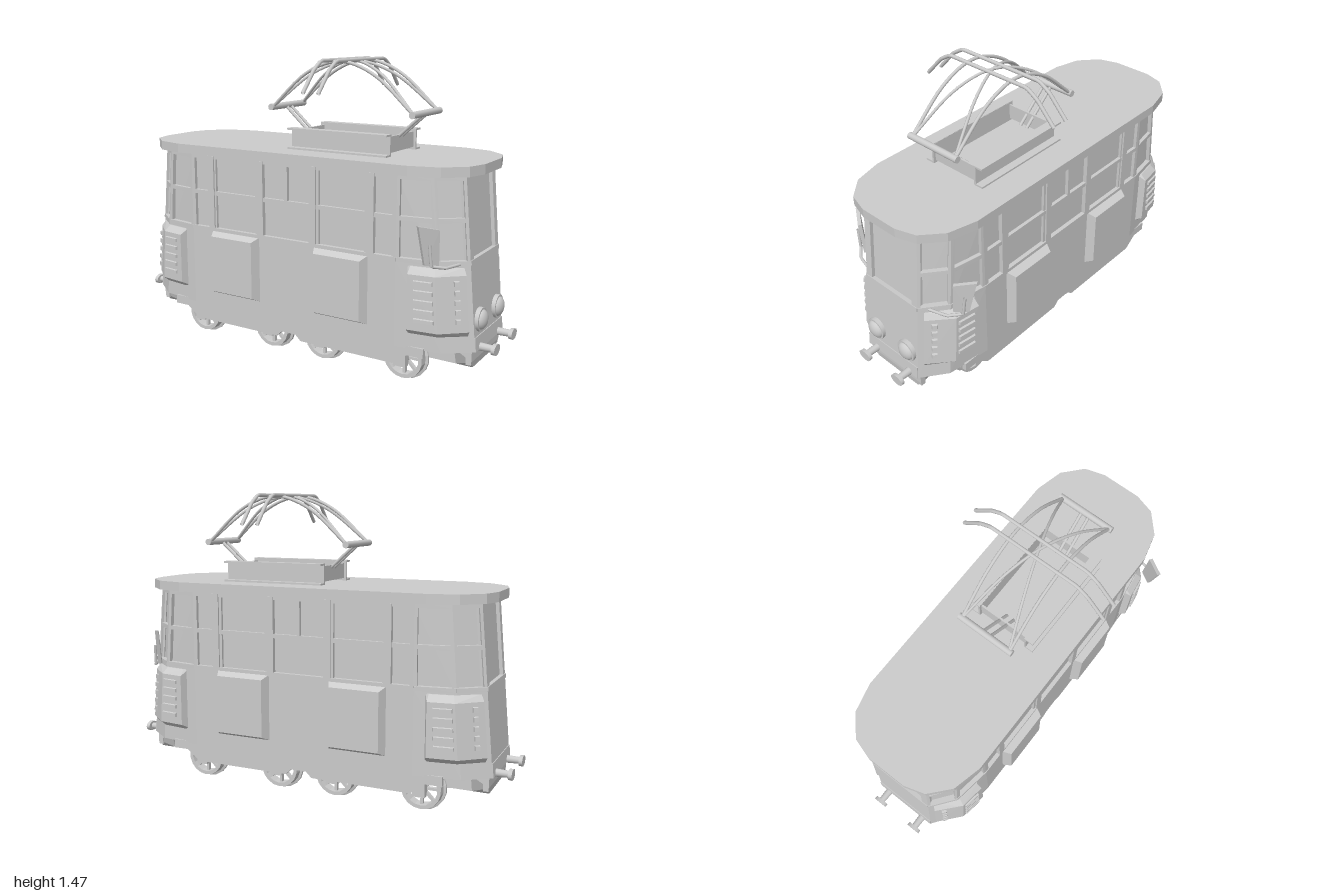
import * as THREE from 'three';
import { ConvexGeometry } from 'three/addons/geometries/ConvexGeometry.js';

const V = (x, y, z) => new THREE.Vector3(x, y, z);
const SIGNS = [-1, 1];
const grey = new THREE.MeshStandardMaterial({ color: 0xcccccc, side: THREE.DoubleSide });
const flat = new THREE.MeshStandardMaterial({ color: 0xcccccc, flatShading: true, side: THREE.DoubleSide });

export function createModel() {
  const model = new THREE.Group();
  const add = (name, geo, pos = [0, 0, 0], parent = model, mat = grey) => {
    const m = new THREE.Mesh(geo, mat);
    m.name = name;
    m.position.set(...pos);
    parent.add(m);
    return m;
  };
  const box = (name, w, h, d, x, y, z, parent) => add(name, new THREE.BoxGeometry(w, h, d), [x, y, z], parent);
  const hull = (name, pts) => add(name, new ConvexGeometry(pts));
  const rod = (name, pts, r, parent) => {
    const path = new THREE.CurvePath();
    for (let i = 1; i < pts.length; i++) path.add(new THREE.LineCurve3(pts[i - 1], pts[i]));
    return add(name, new THREE.TubeGeometry(path, (pts.length - 1) * 8, r, 8), [0, 0, 0], parent);
  };
  const arc = (name, pts, r) => add(name, new THREE.TubeGeometry(new THREE.CatmullRomCurve3(pts), 32, r, 8));

  // Plan corners of the body at height y; the ends lean inwards towards the roof
  const corner = ([k, sx, sz], y, inset = 0) => {
    const t = (y - 0.2) / 0.78;
    const [x, z] = [[0.58, 0.29], [0.8 - 0.06 * t, 0.26], [0.92 - 0.07 * t, 0.17]][k];
    return V(sx * (x - inset), y, sz * (z - inset));
  };
  const ring = (y, inset) => SIGNS.flatMap(sx => SIGNS.flatMap(sz => [0, 1, 2].map(k => corner([k, sx, sz], y, inset))));

  // A slab lying on one wall facet, between fractions u and heights y, from depth d0 to d1.
  // taper shrinks the outer face, giving a bevelled panel.
  const slab = (name, [a, b], u0, u1, y0, y1, d0, d1, taper = 0) => {
    const at = (u, y) => corner(a, y).lerp(corner(b, y), u);
    const n = corner(b, y0).sub(corner(a, y0)).cross(corner(a, y1).sub(corner(a, y0))).normalize();
    const mid = at(0.5, y0).setY(0);
    if (n.dot(mid) < 0) n.negate();
    const len = corner(a, y0).distanceTo(corner(b, y0));
    const pts = [];
    for (const [d, s] of [[d0, 0], [d1, taper]])
      for (const u of [u0 + s / len, u1 - s / len])
        for (const y of [y0 + s, y1 - s]) pts.push(at(u, y).addScaledVector(n, d));
    return hull(name, pts);
  };
  const bar = (f, u0, u1, y0, y1, d = 0) => slab('windowFrame', f, u0, u1, y0, y1, -0.03, d);
  const rails = (f, mid = true) => {
    bar(f, 0, 1, 0.595, 0.615, 0.004);
    if (mid) bar(f, 0, 1, 0.782, 0.802);
    bar(f, 0, 1, 0.965, 0.99);
  };

  hull('lowerBody', [...ring(0.2), ...ring(0.6)]);
  hull('windowGlass', [...ring(0.6, 0.017), ...ring(0.99, 0.017)]);

  // Long sides: posts, rails, doors
  for (const sz of SIGNS) {
    const f = [[0, -1, sz], [0, 1, sz]];
    const u = x => (x + 0.58) / 1.16;
    rails(f);
    for (const x of [-0.455, -0.155, 0.145, 0.45]) bar(f, u(x - 0.018), u(x + 0.018), 0.6, 0.98, 0.004);
    for (const x of [-0.57, 0.57]) bar(f, u(x - 0.01), u(x + 0.01), 0.6, 0.98);
    bar(f, u(-0.013), u(0.003), 0.79, 0.98);
    for (const x of [-0.307, 0.297]) {
      slab('doorPanel', f, u(x - 0.148), u(x + 0.148), 0.27, 0.605, -0.01, 0.042, 0.025);
      // raised door window surround
      for (const s of SIGNS) bar(f, u(x + s * 0.128 - 0.007), u(x + s * 0.128 + 0.007), 0.61, 0.97, -0.004);
    }
  }

  // Angled corners: posts, rails, louvred vent boxes
  for (const sx of SIGNS) for (const sz of SIGNS) {
    const slant = [[0, sx, sz], [1, sx, sz]], chamfer = [[1, sx, sz], [2, sx, sz]];
    for (const f of [slant, chamfer]) {
      rails(f);
      bar(f, 0, 0.08, 0.6, 0.98);
      bar(f, 0.9, 1, 0.6, 0.98);
    }
    const ventRing = (y, out, e) => {
      const t = (y - 0.28) / 0.3;
      return [[0.63 + e, 0.27], [0.65 + e, 0.282 + out], [0.78 - 0.022 * t + out * 0.4, 0.264 + out],
        [0.887 - 0.027 * t + out * 0.5, 0.185 + out * 0.5], [0.86 - 0.03 * t, 0.17]].map(([x, z]) => V(sx * x, y, sz * z));
    };
    hull('ventBox', [...ventRing(0.275, 0.005, 0), ...ventRing(0.3, 0.033, 0), ...ventRing(0.555, 0.033, 0), ...ventRing(0.585, 0.005, 0)]);
    for (let i = 0; i < 5; i++) {
      const y = 0.335 + i * 0.043;
      slab('louver', slant, 0.45, 0.93, y, y + 0.028, 0.02, 0.046, 0.006);
      slab('louver', chamfer, 0.4, 0.6, y, y + 0.028, 0.015, 0.034, 0.004);
    }
  }

  // End walls with one large window, beam and buffers
  for (const sx of SIGNS) {
    const f = [[2, sx, -1], [2, sx, 1]];
    rails(f, false);
    bar(f, 0, 0.11, 0.6, 0.98);
    bar(f, 0.89, 1, 0.6, 0.98);
    slab('endPlate', f, 0, 1, 0.2, 0.265, -0.02, 0.004);
    hull('endBeam', SIGNS.flatMap(s => [V(sx * 0.82, 0.2, s * 0.17), V(sx * 0.905, 0.2, s * 0.17), V(sx * 0.905, 0.15, s * 0.17),
      V(sx * 0.9, 0.115, s * 0.14), V(sx * 0.82, 0.115, s * 0.14)]));
    for (const s of SIGNS) {
      const buffer = new THREE.Group();
      buffer.name = 'buffer';
      buffer.position.set(sx * 0.9, 0.21, s * 0.113);
      buffer.rotation.z = -sx * Math.PI / 2;
      add('bufferStem', new THREE.CylinderGeometry(0.016, 0.02, 0.1, 12), [0, 0.045, 0], buffer);
      add('bufferHead', new THREE.CylinderGeometry(0.038, 0.036, 0.018, 16), [0, 0.091, 0], buffer).scale.x = 0.68;
      model.add(buffer);
      box('stepPlate', 0.025, 0.07, 0.03, sx * 0.89, 0.168, s * 0.155);
    }
  }

  // Headlamps and mirrors on the driving end (+x)
  for (const s of SIGNS) {
    const ringGeo = new THREE.CylinderGeometry(0.055, 0.055, 0.03, 20).rotateZ(Math.PI / 2);
    add('headlampRim', ringGeo, [0.909, 0.335, s * 0.105]);
    add('headlampLens', new THREE.SphereGeometry(0.047, 20, 12), [0.918, 0.335, s * 0.105]).scale.x = 0.6;
    rod('mirrorArm', [V(0.85, 0.6, s * 0.18), V(0.82, 0.602, s * 0.29), V(0.775, 0.615, s * 0.345), V(0.77, 0.71, s * 0.355)], 0.007);
    const [dx, dz] = [0.007, 0.005];
    hull('mirror', SIGNS.flatMap(k => [[0.73, 0.795, 0.393], [0.79, 0.77, 0.308], [0.785, 0.61, 0.295], [0.745, 0.62, 0.355]]
      .map(([x, y, z]) => V(x + k * dx, y, s * (z + k * dz)))));
  }

  // Roof slab
  const half = [[0.905, 0.1], [0.875, 0.2], [0.78, 0.285], [0.64, 0.32]];
  const mirrored = half.map(([x, z]) => [-x, z]).reverse();
  const outline = [...half, ...mirrored].map(([x, z]) => new THREE.Vector2(x, z));
  const roofShape = new THREE.Shape([...outline, ...outline.map(p => new THREE.Vector2(p.x, -p.y)).reverse()]);
  add('roof', new THREE.ExtrudeGeometry(roofShape, { depth: 0.045, bevelEnabled: false }).rotateX(-Math.PI / 2), [0, 0.987, 0]);

  // Pantograph base: two channel beams joined by end plates
  for (const s of SIGNS) {
    box('baseBeamWeb', 0.535, 0.1, 0.01, 0.198, 1.082, s * 0.133);
    for (const [y, z] of [[1.129, 0.153], [1.036, 0.153]]) box('baseBeamFlange', 0.535, 0.009, 0.048, 0.198, y, s * z);
    box('baseEndPlate', 0.01, 0.075, 0.26, 0.198 + s * 0.25, 1.082, 0);
  }

  // Pantograph: lower struts, cross tubes, curved arms, collector bars
  const cx = 0.195;
  for (const s of SIGNS) {
    add('crossTube', new THREE.CylinderGeometry(0.016, 0.016, 0.296, 12).rotateX(Math.PI / 2), [cx + s * 0.38, 1.225, 0]);
    for (const k of SIGNS) rod('lowerStrut', [V(cx + s * 0.2, 1.065, k * 0.02), V(cx + s * 0.38, 1.225, k * 0.02)], 0.008);
    const steps = [[-0.38, 1.225], [-0.2, 1.383], [-0.08, 1.44], [0, 1.452], [0.08, 1.44], [0.2, 1.383], [0.38, 1.225]];
    arc('sideArm', steps.map(([x, y]) => V(cx + x, y, s * 0.132)), 0.008);
    arc('diagonalArm', steps.map(([x, y]) => V(cx + x, y, s * x * 0.345)), 0.007);
    rod('collectorBar', [[-0.383, 1.32], [-0.29, 1.42], [-0.23, 1.457], [0.23, 1.457], [0.29, 1.42], [0.383, 1.32]]
      .map(([z, y]) => V(cx + s * 0.04, y, z)), 0.009);
  }

  // Chassis floor and side skirts
  box('chassis', 1.66, 0.085, 0.28, 0, 0.1575, 0);
  const skirt = [[0.72, 0.21], [0.72, 0.165], [0.64, 0.165], [0.57, 0.112], [0.07, 0.112], [0.04, 0.14]];
  const skirtShape = new THREE.Shape([...skirt, ...skirt.map(([x, y]) => [-x, y]).reverse()].map(p => new THREE.Vector2(...p)));
  for (const s of SIGNS)
    add('sideSkirt', new THREE.ExtrudeGeometry(skirtShape, { depth: 0.025, bevelEnabled: false }), [0, 0, s * 0.27 - 0.0125]);

  // Spoked wheels with flange, axle box and brake rod
  const rim = [[0.08, -0.026], [0.112, -0.026], [0.112, -0.014], [0.1, -0.01], [0.098, 0.026], [0.08, 0.026], [0.08, -0.026]];
  const rimGeo = new THREE.LatheGeometry(rim.map(p => new THREE.Vector2(...p)), 18).rotateX(Math.PI / 2);
  for (const x of [-0.595, -0.157, 0.147, 0.583]) {
    add('axle', new THREE.CylinderGeometry(0.014, 0.014, 0.42, 10).rotateX(Math.PI / 2), [x, 0.112, 0]);
    for (const s of SIGNS) {
      const wheel = new THREE.Group();
      wheel.name = 'wheel';
      wheel.position.set(x, 0.112, s * 0.178);
      if (s < 0) wheel.rotation.y = Math.PI;
      add('rim', rimGeo, [0, 0, 0], wheel, flat);
      add('hub', new THREE.CylinderGeometry(0.026, 0.026, 0.05, 12).rotateX(Math.PI / 2), [0, 0, 0], wheel);
      for (let i = 0; i < 8; i++) {
        const a = i * Math.PI / 4;
        box('spoke', 0.065, 0.013, 0.018, Math.cos(a) * 0.052, Math.sin(a) * 0.052, 0, wheel).rotation.z = a;
      }
      model.add(wheel);
      box('axleBox', 0.06, 0.07, 0.035, x, 0.118, s * 0.222);
      box('axleGuide', 0.035, 0.08, 0.012, x, 0.17, s * 0.226);
      const d = Math.abs(x) > 0.3 ? -Math.sign(x) : Math.sign(x);
      rod('brakeRod', [V(x + d * 0.12, 0.105, s * 0.178), V(x + d * 0.21, 0.085, s * 0.178), V(x + d * 0.23, 0.13, s * 0.178)], 0.009);
    }
  }
  return model;
}
